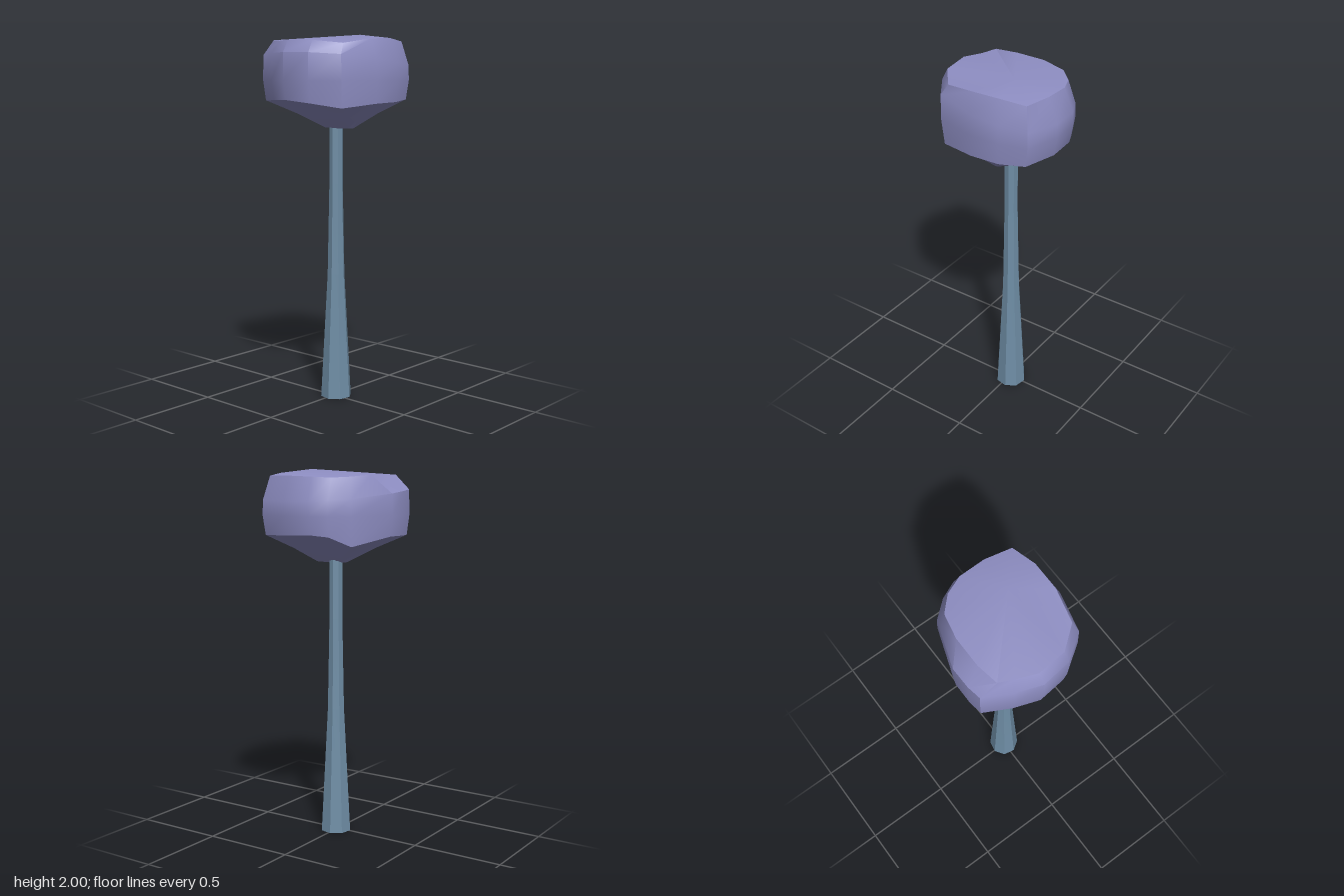
import * as THREE from 'three';
import { toCreasedNormals } from 'three/addons/utils/BufferGeometryUtils.js';

// Canopy outline, one row per column: top rim x, y, z, then widest x, z, then lower rim y
const COLUMNS = [
  [0.30, 1.965, 0.105, 0.353, 0.105, 1.66],
  [0.27, 1.965, 0.248, 0.297, 0.28, 1.655],
  [0.133, 1.98, 0.28, 0.153, 0.32, 1.645],
  [-0.027, 1.975, 0.28, -0.02, 0.32, 1.64],
  [-0.20, 1.95, 0.242, -0.237, 0.262, 1.62],
  [-0.298, 1.965, 0.12, -0.333, 0.123, 1.645],
  [-0.313, 1.97, -0.037, -0.355, -0.035, 1.66],
  [-0.27, 1.965, -0.14, -0.305, -0.17, 1.655],
  [-0.237, 1.97, -0.217, -0.228, -0.31, 1.65],
  [-0.117, 1.97, -0.238, -0.15, -0.322, 1.65],
  [0.048, 1.97, -0.238, -0.03, -0.322, 1.65],
  [0.185, 1.96, -0.208, 0.225, -0.233, 1.605],
  [0.262, 1.955, -0.133, 0.305, -0.14, 1.655],
  [0.30, 1.96, -0.037, 0.347, -0.05, 1.665],
];

// Skin a list of closed rings, ordered top to bottom, with a point at each end
function skin(rings, top, bottom) {
  const n = rings[0].length;
  const points = [...rings.flat(), top, bottom];
  const topId = n * rings.length;
  const last = topId - n;
  const index = [];
  for (let i = 0; i < n; i++) {
    const j = (i + 1) % n;
    index.push(topId, j, i);
    for (let r = 0; r < last; r += n) {
      index.push(r + i, r + j, r + j + n, r + i, r + j + n, r + i + n);
    }
    index.push(topId + 1, last + i, last + j);
  }
  const g = new THREE.BufferGeometry();
  g.setAttribute('position', new THREE.Float32BufferAttribute(points.flat(), 3));
  g.setIndex(index);
  return toCreasedNormals(g, THREE.MathUtils.degToRad(38));
}

function createCanopy() {
  const ring = (f) => COLUMNS.map((c) => f(...c)).reverse();
  const rings = [
    ring((tx, ty, tz) => [tx, ty, tz]),
    ring((tx, ty, tz, x, z) => [x * 0.995, 1.87 - 0.1 * x, z * 0.99]),
    ring((tx, ty, tz, x, z) => [x, 1.76, z]),
    ring((tx, ty, tz, x, z, by) => [x * 0.95, by, z * 0.97]),
    // Underside narrows to a short keel
    ring((tx, ty, tz, x, z, by) => [x * 0.5, by * 0.5 + 0.755, z * 0.6 + 0.02]),
    ring((tx, ty, tz, x, z) => [x * 0.08, 1.505, z * 0.28 + 0.04]),
  ];
  // Columns are listed the other way round, so each ring is reversed to face outward
  const mesh = new THREE.Mesh(
    skin(rings.map((r) => r.reverse()), [0.1, 2.0, 0.1], [0, 1.5, 0.04]),
    new THREE.MeshStandardMaterial({ color: 0x8f8fc4 })
  );
  mesh.name = 'canopy';
  return mesh;
}

function createTrunk() {
  // Radius and height up the tapering trunk
  const profile = [[0.086, 0], [0.048, 0.7], [0.038, 1.2], [0.038, 1.52]]
    .map(([r, y]) => new THREE.Vector2(r, y));
  const mesh = new THREE.Mesh(
    toCreasedNormals(new THREE.LatheGeometry(profile, 8, 0.2), 0.1),
    new THREE.MeshStandardMaterial({ color: 0x6f8ea6, side: THREE.DoubleSide })
  );
  mesh.position.set(0.013, 0, 0.005);
  mesh.name = 'trunk';
  return mesh;
}

export function createModel() {
  const group = new THREE.Group();
  group.name = 'tree';
  group.add(createTrunk(), createCanopy());
  return group;
}
